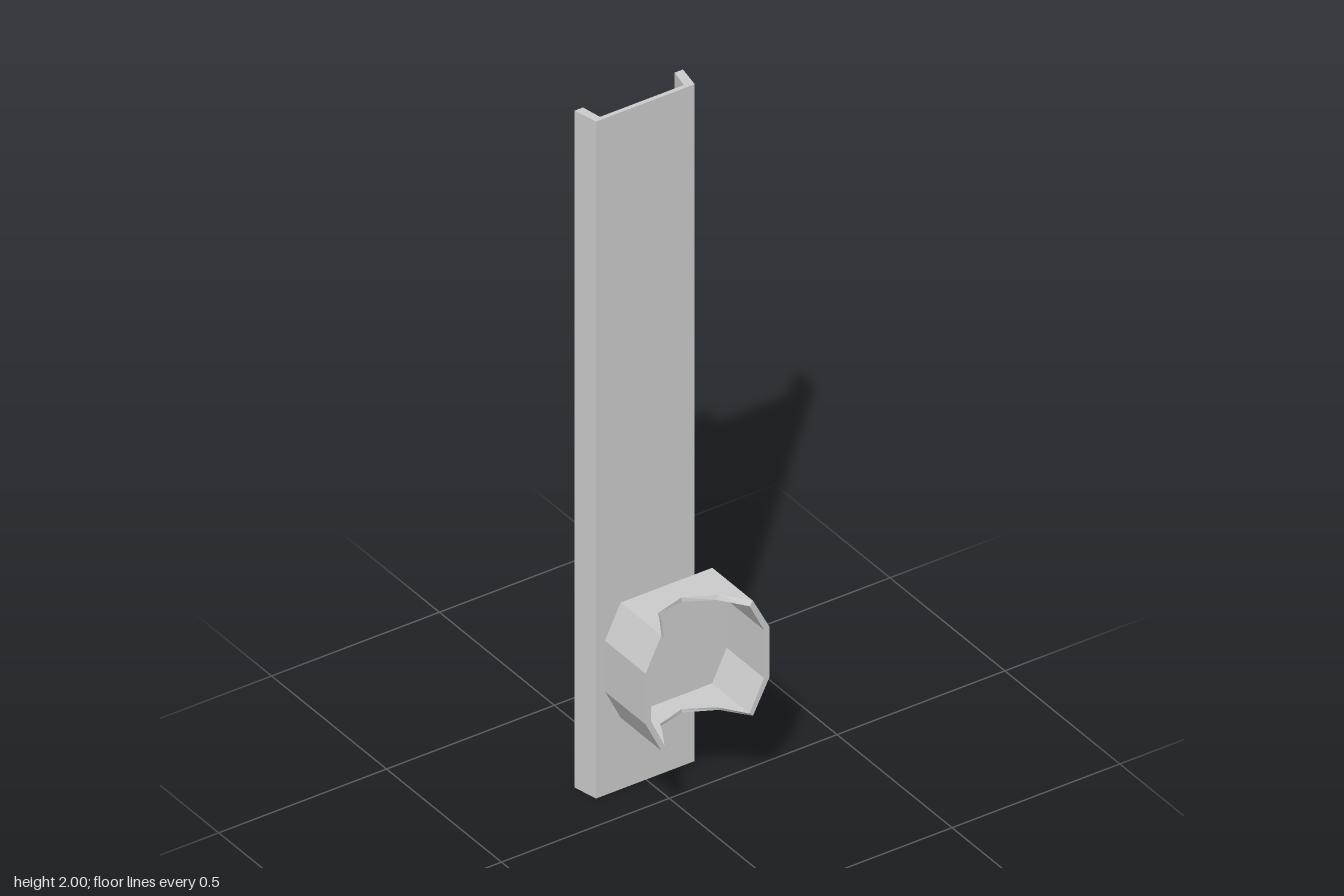
import * as THREE from 'three';

const material = () => new THREE.MeshStandardMaterial({ color: 0xcccccc, flatShading: true });

// Open-backed rail: one profile (x, -z) extruded upwards
function makeRail() {
  const profile = [
    [-0.149, 0.101], [0.145, 0.101], [0.158, 0.171], [0.133, 0.171],
    [0.121, 0.113], [-0.129, 0.113], [-0.14, 0.171], [-0.165, 0.171],
  ];
  const shape = new THREE.Shape(profile.map(([x, y]) => new THREE.Vector2(x, y)));
  const geo = new THREE.ExtrudeGeometry(shape, { depth: 2, bevelEnabled: false });
  geo.rotateX(-Math.PI / 2);
  return new THREE.Mesh(geo, material());
}

// Octagonal open cup whose top and bottom walls have a notched front edge
function makeCup() {
  const back = -0.01, floor = 0.004, front = 0.167;
  // Corners clockwise from the top left: outer x, y, inner x, y
  const corners = [
    [-0.138, 0.625, -0.128, 0.612], [0.135, 0.625, 0.125, 0.612],
    [0.184, 0.53, 0.168, 0.526], [0.184, 0.38, 0.168, 0.384],
    [0.135, 0.285, 0.125, 0.295], [-0.138, 0.285, -0.128, 0.295],
    [-0.185, 0.38, -0.169, 0.384], [-0.185, 0.53, -0.169, 0.526],
  ];
  // Notch: fraction of the wall from its left end, front z
  const notch = [[0.15, 0.098], [0.18, 0.08], [0.5, 0.056], [0.8, 0.098]];

  // Samples around the rim, with extra ones along the notched walls
  const ring = [];
  corners.forEach((a, i) => {
    const b = corners[(i + 1) % corners.length];
    const add = (t, z) => {
      const [ox, oy, ix, iy] = a.map((v, k) => v + (b[k] - v) * t);
      ring.push({ ox, oy, ix, iy, z });
    };
    add(0, front);
    if (i === 0) notch.forEach(([f, z]) => add(f, z));
    if (i === 4) [...notch].reverse().forEach(([f, z]) => add(1 - f, z));
  });

  const positions = [];
  const tri = (...pts) => pts.forEach((p) => positions.push(...p));
  const quad = (a, b, c, d) => { tri(a, b, c); tri(a, c, d); };
  const outer = (s, z) => [s.ox, s.oy, z];
  const inner = (s, z) => [s.ix, s.iy, z];
  ring.forEach((a, i) => {
    const b = ring[(i + 1) % ring.length];
    quad(outer(a, a.z), outer(b, b.z), outer(b, back), outer(a, back));
    quad(outer(a, a.z), inner(a, a.z), inner(b, b.z), outer(b, b.z));
    quad(inner(a, floor), inner(b, floor), inner(b, b.z), inner(a, a.z));
    tri([0, 0.455, floor], inner(b, floor), inner(a, floor));
    tri([0, 0.455, back], outer(a, back), outer(b, back));
  });
  const geo = new THREE.BufferGeometry();
  geo.setAttribute('position', new THREE.Float32BufferAttribute(positions, 3));
  geo.computeVertexNormals();
  return new THREE.Mesh(geo, material());
}

// Round post joining the cup to the rail
function makePost() {
  const zBack = -0.112, zFront = -0.008;
  const geo = new THREE.CylinderGeometry(0.057, 0.057, zFront - zBack, 40);
  geo.rotateX(Math.PI / 2);
  const mesh = new THREE.Mesh(geo, new THREE.MeshStandardMaterial({ color: 0xcccccc }));
  mesh.position.set(0.003, 0.45, (zFront + zBack) / 2);
  return mesh;
}

export function createModel() {
  const model = new THREE.Group();
  model.name = 'railWithCup';
  const parts = { rail: makeRail(), post: makePost(), cup: makeCup() };
  for (const [name, mesh] of Object.entries(parts)) {
    mesh.name = name;
    model.add(mesh);
  }
  return model;
}
